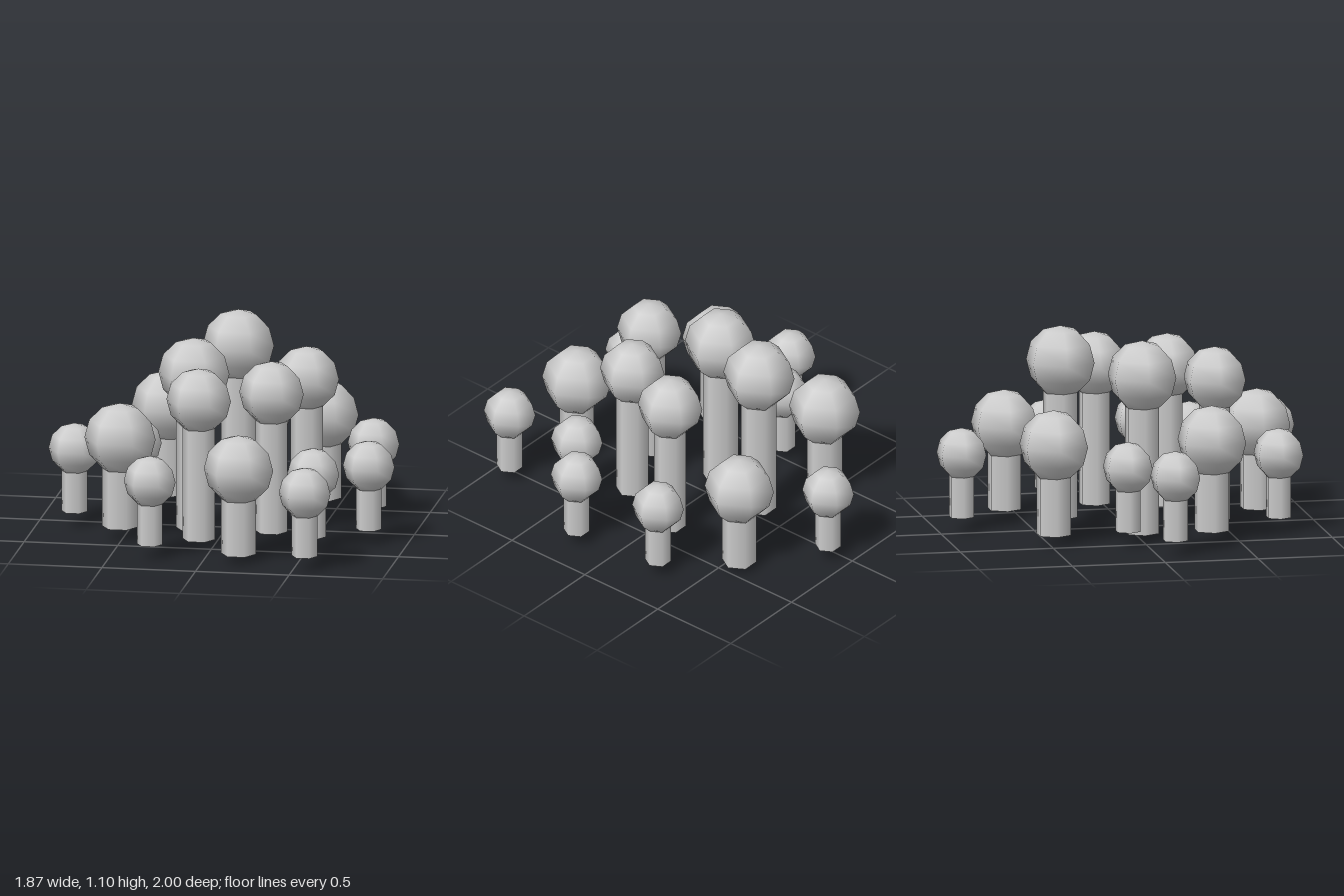
import * as THREE from 'three';

const SIDES = 6;
const material = new THREE.MeshStandardMaterial({ color: 0xcccccc });

// One tree: a six-sided stem of half the head's radius, under a six-sided ball.
function makeTree(x, z, radius, base, top) {
  const tree = new THREE.Group();
  tree.name = 'tree';
  tree.position.set(x, 0, z);

  const headY = top - radius;
  const head = new THREE.Mesh(new THREE.SphereGeometry(radius, SIDES, 6), material);
  head.name = 'head';
  head.position.y = headY;

  // The stem meets the head at its lowest ring.
  const stemTop = headY - radius * Math.cos(Math.PI / 6);
  const height = stemTop - base;
  const stem = new THREE.Mesh(
    new THREE.CylinderGeometry(radius / 2, radius / 2, height, SIDES, 1, false, Math.PI / 6),
    material
  );
  stem.name = 'stem';
  stem.position.y = base + height / 2;

  tree.add(head, stem);
  return tree;
}

export function createModel() {
  const grove = new THREE.Group();
  grove.name = 'grove';

  // Tall and medium trees: x, z, head radius, stem base, top
  const large = [
    [0.0, -0.36, 0.19, 0.07, 1.095],
    [-0.17, 0.045, 0.19, 0.0, 1.03],
    [0.41, -0.093, 0.172, 0.053, 0.975],
    [0.283, 0.273, 0.172, 0.055, 0.975],
    [-0.075, 0.455, 0.172, 0.042, 0.965],
    [-0.513, 0.35, 0.19, 0.067, 0.735],
    [-0.4, -0.477, 0.19, 0.055, 0.72],
    [0.42, -0.575, 0.185, 0.04, 0.68],
    [0.185, 0.735, 0.185, 0.04, 0.68],
  ];
  for (const t of large) grove.add(makeTree(...t));

  // Small outer trees, all alike: x, z
  const small = [
    [0.055, -0.88], [0.735, -0.28], [-0.505, -0.1], [-0.8, 0.095],
    [0.795, 0.228], [0.535, 0.443], [-0.286, 0.755], [0.563, 0.88],
  ];
  for (const [x, z] of small) grove.add(makeTree(x, z, 0.138, 0.078, 0.555));

  return grove;
}
